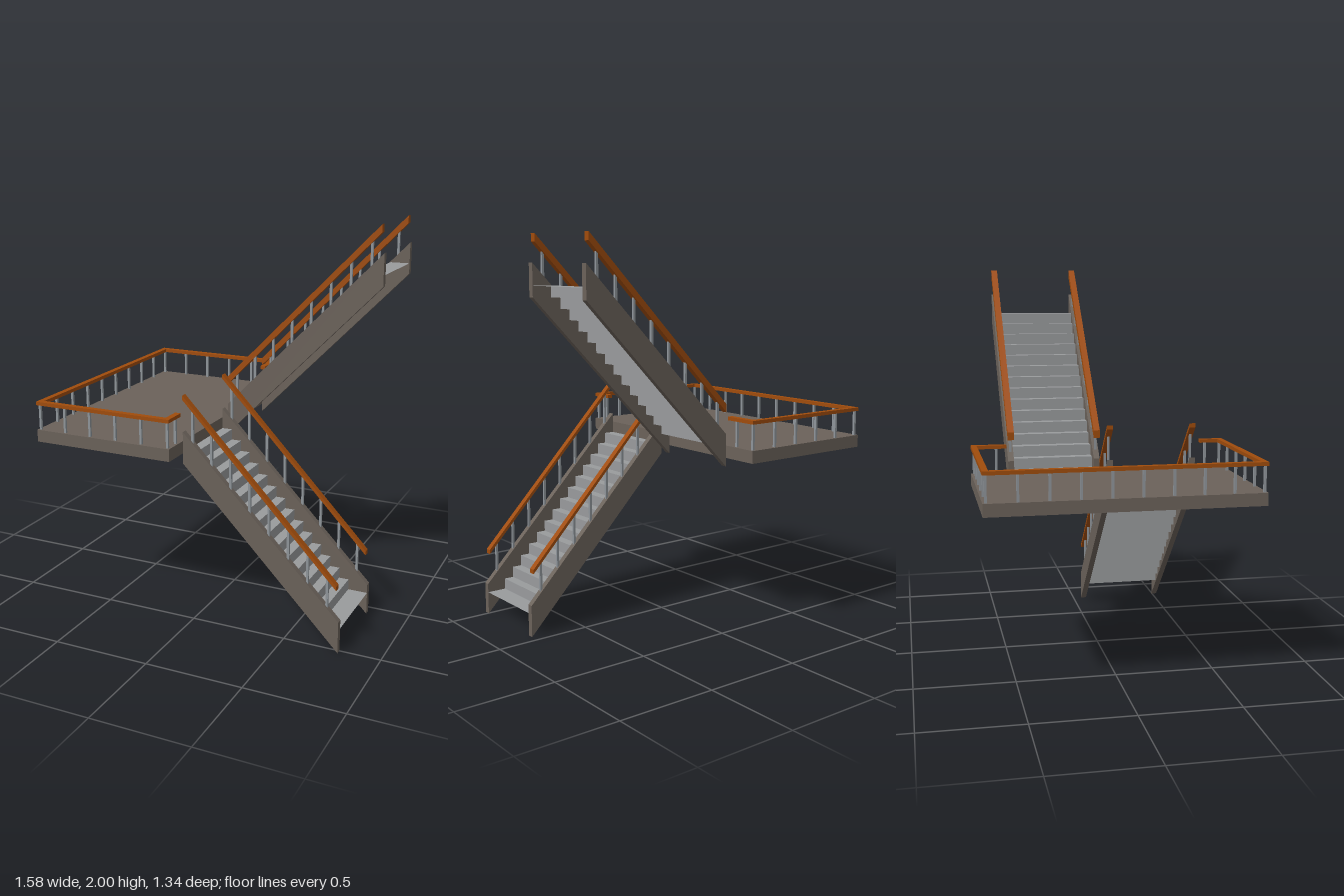
import * as THREE from 'three';
import { mergeGeometries } from 'three/addons/utils/BufferGeometryUtils.js';

const brown = new THREE.MeshStandardMaterial({ color: 0x6b625a });
brown.name = 'brown structure';
const orange = new THREE.MeshStandardMaterial({ color: 0xa04c0c });
orange.name = 'orange wood';
const grey = new THREE.MeshStandardMaterial({ color: 0x999b9d, side: THREE.DoubleSide });
grey.name = 'grey steps';
const steel = new THREE.MeshStandardMaterial({ color: 0x8f959a });
steel.name = 'steel posts';

const X0 = -0.035, X1 = 0.79, RAIL_END = 0.775;

function add(parent, name, geometry, material) {
  const mesh = new THREE.Mesh(geometry, material);
  mesh.name = name;
  parent.add(mesh);
}

// Box given by its limits
function box(x0, x1, y0, y1, z0, z1) {
  return new THREE.BoxGeometry(x1 - x0, y1 - y0, z1 - z0)
    .translate((x0 + x1) / 2, (y0 + y1) / 2, (z0 + z1) / 2);
}

// Sloping bar with vertical ends; ya and yb are its lower edge at each end
function slopedBar(xa, ya, xb, yb, height, z, width) {
  const shape = new THREE.Shape([
    new THREE.Vector2(xa, ya), new THREE.Vector2(xb, yb),
    new THREE.Vector2(xb, yb + height), new THREE.Vector2(xa, ya + height),
  ]);
  return new THREE.ExtrudeGeometry(shape, { depth: width, bevelEnabled: false })
    .translate(0, 0, z - width / 2);
}

// Thin folded run of treads and risers
function steps(yStart, yEnd, zMin, zMax) {
  const parts = [], risers = 14, first = 0.02, run = 0.0514;
  const width = zMax - zMin, zMid = (zMin + zMax) / 2;
  const rise = (yEnd - yStart) / risers;
  for (let i = 0; i <= risers; i++) {
    const a = i === 0 ? X0 : first + (i - 1) * run;
    const b = i === risers ? X1 : first + i * run;
    const y = yStart + i * rise;
    parts.push(new THREE.PlaneGeometry(b - a, width).rotateX(-Math.PI / 2)
      .translate((a + b) / 2, y, zMid));
    if (i < risers) {
      parts.push(new THREE.PlaneGeometry(width, Math.abs(rise))
        .rotateY(rise < 0 ? Math.PI / 2 : -Math.PI / 2)
        .translate(b, y + rise / 2, zMid));
    }
  }
  return mergeGeometries(parts);
}

// One flight: steps, two stringers, two handrails and their posts
function flight(name, o) {
  const group = new THREE.Group();
  group.name = name;
  const lerp = (a, b, t) => a + (b - a) * t;
  add(group, 'steps', steps(o.stepY[0], o.stepY[1], o.z[0], o.z[1]), grey);
  for (const z of o.z) {
    add(group, 'stringer', slopedBar(X0, o.beamY[0], X1, o.beamY[1], 0.163, z, 0.031), brown);
    add(group, 'handrail',
      slopedBar(X0, o.railY[0], RAIL_END, o.railY[1], o.railHeight, z, 0.033), orange);
    const posts = [];
    for (let i = 0; i < 8; i++) {
      const x = 0.012 + i * 0.1018;
      const bottom = lerp(o.beamY[0], o.beamY[1], (x - X0) / (X1 - X0)) + 0.155;
      const top = lerp(o.railY[0], o.railY[1], (x - X0) / (RAIL_END - X0)) + 0.008;
      posts.push(box(x - 0.006, x + 0.006, bottom, top, z - 0.006, z + 0.006));
    }
    add(group, 'posts', mergeGeometries(posts), steel);
  }
  return group;
}

function landing() {
  const group = new THREE.Group();
  group.name = 'landing';
  add(group, 'platform', box(-0.79, X0, 0.9, 0.963, -0.67, 0.67), brown);

  // Guard rail around three sides with short returns beside the flights
  const rail = (x0, x1, z0, z1) => box(x0, x1, 1.092, 1.11, z0, z1);
  add(group, 'guardRail', mergeGeometries([
    rail(-0.79, -0.76, -0.67, 0.67),
    rail(-0.76, X0, -0.67, -0.64),
    rail(-0.76, X0, 0.64, 0.67),
    rail(-0.065, X0, -0.64, -0.488),
    rail(-0.065, X0, 0.545, 0.64),
  ]), orange);

  const spots = [[-0.05, 0.575], [-0.05, -0.54]];
  for (let i = 0; i < 10; i++) spots.push([-0.775, -0.655 + i * 0.1456]);
  for (let i = 1; i < 6; i++) {
    for (const z of [-0.655, 0.655]) spots.push([-0.775 + i * 0.145, z]);
  }
  add(group, 'guardPosts', mergeGeometries(spots.map(([x, z]) =>
    box(x - 0.006, x + 0.006, 0.96, 1.095, z - 0.006, z + 0.006))), steel);
  return group;
}

export function createModel() {
  const model = new THREE.Group();
  model.name = 'staircase';
  model.add(landing());
  model.add(flight('lowerFlight', {
    z: [0.062, 0.511], stepY: [0.903, 0.118], beamY: [0.846, 0],
    railY: [1.172, 0.326], railHeight: 0.022,
  }));
  model.add(flight('upperFlight', {
    z: [-0.461, -0.009], stepY: [0.967, 1.755], beamY: [0.857, 1.7],
    railY: [1.13, 1.96], railHeight: 0.04,
  }));
  return model;
}
